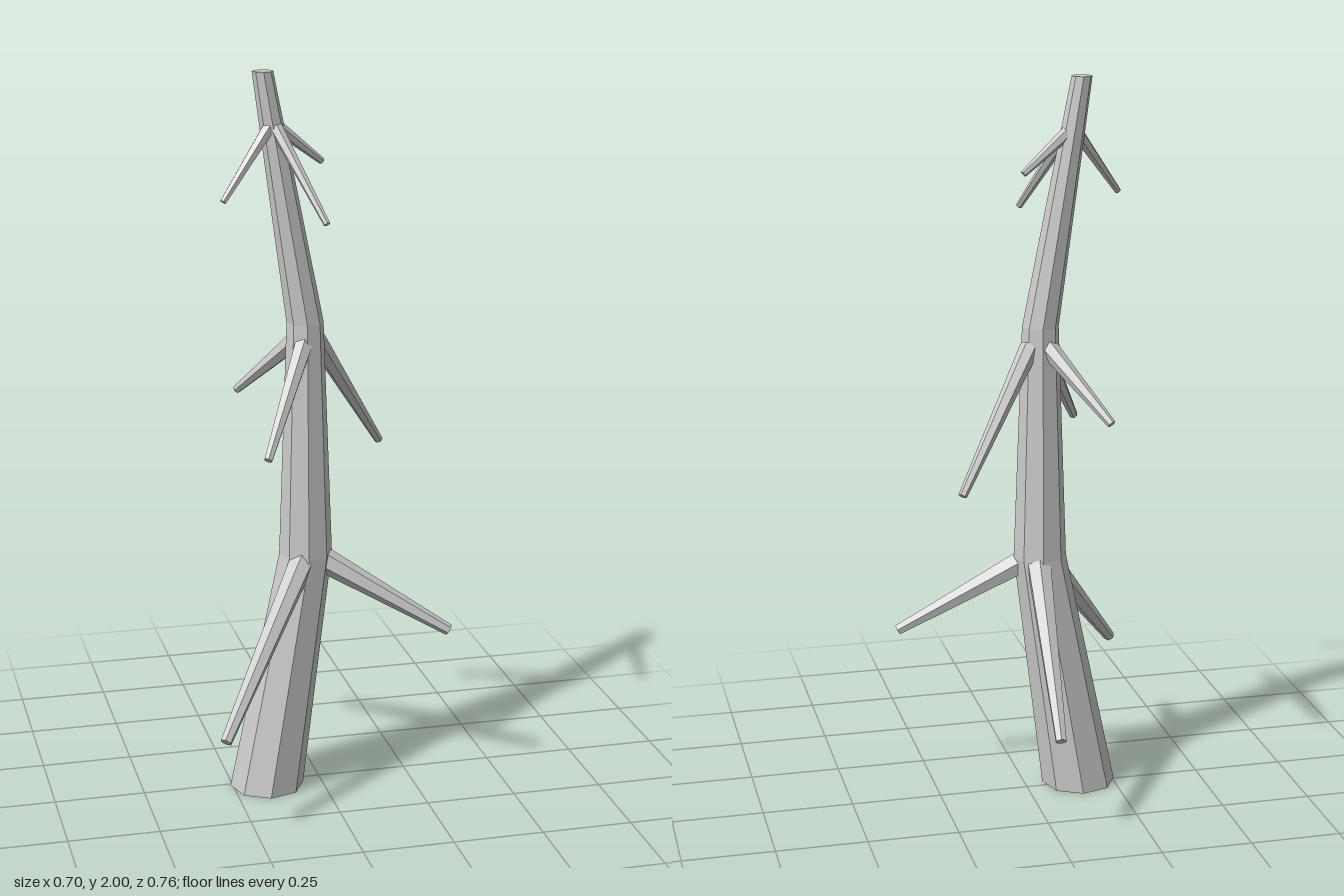
import * as THREE from 'three';

const material = new THREE.MeshStandardMaterial({ color: 0xcccccc, flatShading: true, side: THREE.DoubleSide });

// Horizontal rings [x, y, z, radius] joined into a faceted tube, closed at the top only
function createTrunk(rings, sides, turn) {
  const positions = [], indices = [];
  for (const [x, y, z, r] of rings) {
    for (let i = 0; i < sides; i++) {
      const a = turn + (i / sides) * Math.PI * 2;
      positions.push(x + r * Math.cos(a), y, z + r * Math.sin(a));
    }
  }
  for (let k = 0; k < rings.length - 1; k++) {
    for (let i = 0; i < sides; i++) {
      const j = (i + 1) % sides;
      const a = k * sides + i, b = k * sides + j;
      indices.push(a, a + sides, b, b, a + sides, b + sides);
    }
  }
  const top = (rings.length - 1) * sides;
  for (let i = 1; i < sides - 1; i++) indices.push(top, top + i + 1, top + i);
  const geometry = new THREE.BufferGeometry();
  geometry.setAttribute('position', new THREE.Float32BufferAttribute(positions, 3));
  geometry.setIndex(indices);
  geometry.computeVertexNormals();
  const mesh = new THREE.Mesh(geometry, material);
  mesh.name = 'trunk';
  return mesh;
}

// Tapered six-sided limb from root to tip
function createBranch(name, root, tip, rootRadius, tipRadius) {
  const a = new THREE.Vector3(...root), b = new THREE.Vector3(...tip);
  const direction = b.clone().sub(a);
  const mesh = new THREE.Mesh(
    new THREE.CylinderGeometry(tipRadius, rootRadius, direction.length(), 6), material);
  mesh.position.copy(a).add(b).multiplyScalar(0.5);
  mesh.quaternion.setFromUnitVectors(new THREE.Vector3(0, 1, 0), direction.normalize());
  mesh.name = name;
  return mesh;
}

export function createModel() {
  const group = new THREE.Group();
  group.name = 'bareTree';

  // Crooked trunk
  group.add(createTrunk([
    [-0.154, 0, 0.018, 0.103],
    [-0.042, 0.68, 0.022, 0.073],
    [-0.042, 1.33, 0.02, 0.05],
    [-0.153, 2, 0.016, 0.028],
  ], 8, 0.1));

  // Three whorls of drooping branches: [root, tip]
  const whorls = [
    { name: 'lowerBranch', radii: [0.036, 0.016], limbs: [
      [[-0.01, 0.67, 0.035], [0.34, 0.457, 0.128]],
      [[-0.06, 0.67, 0.06], [-0.34, 0.293, 0.368]],
      [[-0.03, 0.67, -0.015], [-0.004, 0.29, -0.372]],
    ] },
    { name: 'middleBranch', radii: [0.027, 0.012], limbs: [
      [[-0.01, 1.28, 0.005], [0.217, 0.928, -0.175]],
      [[-0.05, 1.28, 0.045], [-0.193, 1.018, 0.238]],
      [[-0.055, 1.28, -0.005], [-0.189, 1.1, -0.178]],
    ] },
    { name: 'upperBranch', radii: [0.018, 0.009], limbs: [
      [[-0.115, 1.855, 0.01], [0.015, 1.752, -0.023]],
      [[-0.14, 1.855, 0.03], [-0.276, 1.677, 0.094]],
      [[-0.122, 1.855, 0.035], [-0.027, 1.628, 0.203]],
    ] },
  ];
  for (const { name, radii, limbs } of whorls) {
    limbs.forEach(([root, tip], i) => group.add(createBranch(name + (i + 1), root, tip, ...radii)));
  }
  return group;
}
